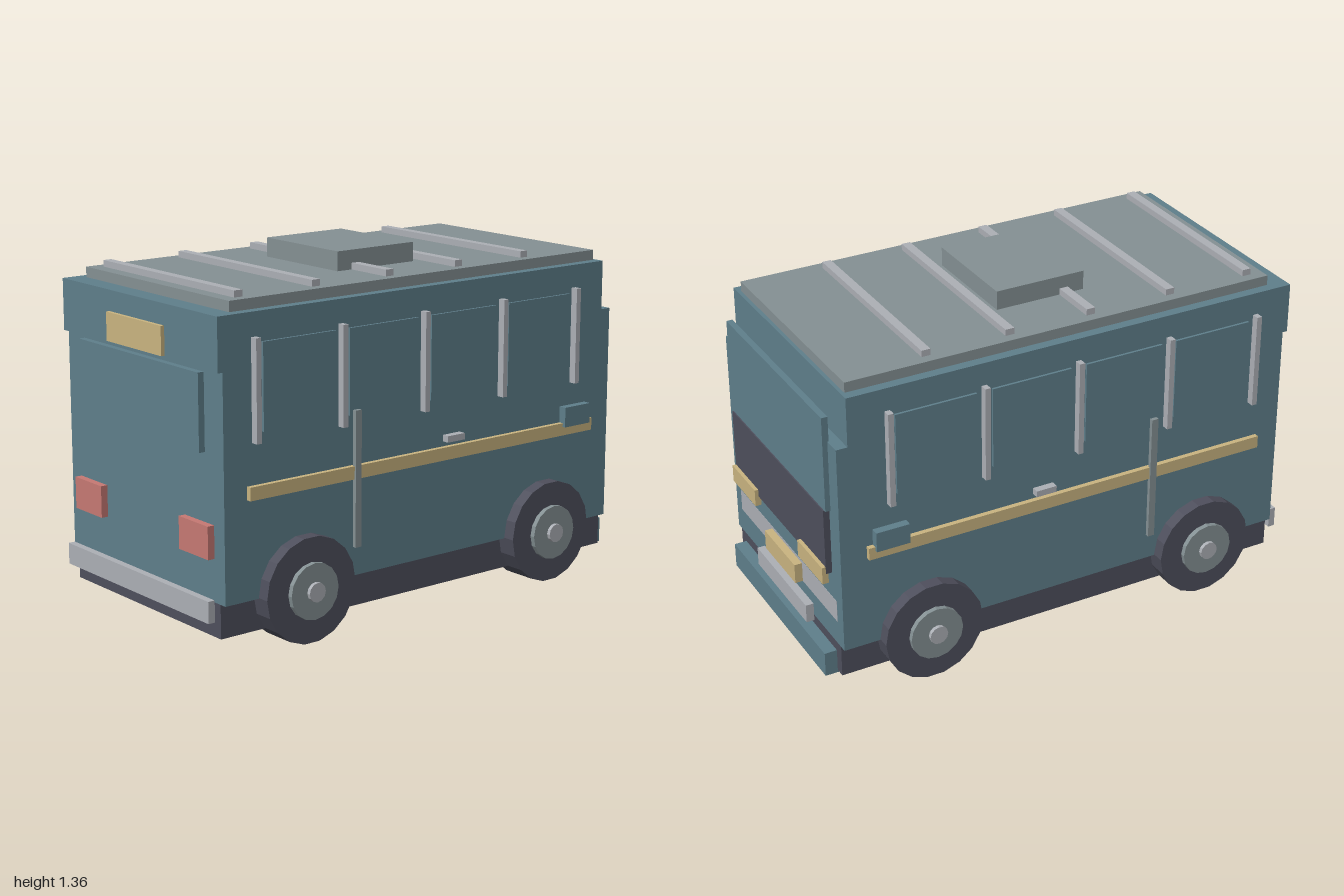
import * as THREE from 'three';

const mat = (name, color) => {
  const m = new THREE.MeshStandardMaterial({ color });
  m.name = name;
  return m;
};

export function createModel() {
  const teal = mat('teal paint', 0x5f7f8b);
  const roofGrey = mat('roof grey', 0x849093);
  const trimGrey = mat('light trim grey', 0xacafb5);
  const dark = mat('dark rubber', 0x4e4f5c);
  const yellow = mat('pale yellow', 0xc9b480);
  const red = mat('lamp red', 0xc67973);

  const bus = new THREE.Group();
  bus.name = 'bus';

  // Box given by its limits on each axis
  const box = (name, m, [x0, x1], [y0, y1], [z0, z1], parent = bus) => {
    const mesh = new THREE.Mesh(new THREE.BoxGeometry(x1 - x0, y1 - y0, z1 - z0), m);
    mesh.position.set((x0 + x1) / 2, (y0 + y1) / 2, (z0 + z1) / 2);
    mesh.name = name;
    parent.add(mesh);
    return mesh;
  };
  const wide = (w) => [-w, w];

  // Body shell
  box('body', teal, wide(0.5), [0.2, 1.055], wide(0.95));
  box('upperBody', teal, wide(0.5), [1.05, 1.25], [-0.905, 0.97]);
  box('skirt', dark, wide(0.47), [0.07, 0.2], wide(0.95));

  // Roof with ribs and hatch
  box('roof', roofGrey, wide(0.46), [1.25, 1.29], wide(0.89));
  for (const z of [0.82, 0.475, 0.13, -0.21, -0.55])
    box('roofRib', trimGrey, wide(0.42), [1.29, 1.315], [z - 0.018, z + 0.018]);
  box('roofHatch', roofGrey, wide(0.22), [1.29, 1.365], [-0.155, 0.215]);

  // Front end
  box('frontSign', yellow, [-0.18, 0.176], [1.06, 1.17], [0.965, 0.985]);
  box('frontWindow', teal, wide(0.387), [0.745, 1.035], [0.95, 0.975]);
  for (const s of [-1, 1])
    box('frontLamp', red, [s * 0.347 - 0.09, s * 0.347 + 0.09], [0.363, 0.487], [0.95, 0.978]);
  box('frontBumper', trimGrey, wide(0.465), [0.137, 0.22], [0.972, 1.0]);

  // Rear end
  box('rearWindow', teal, wide(0.43), [0.77, 1.155], [-0.97, -0.945]);
  box('rearGrille', dark, wide(0.42), [0.5, 0.77], [-0.975, -0.945]);
  for (const s of [-1, 1])
    box('rearLamp', yellow, [s * 0.31 - 0.11, s * 0.31 + 0.11], [0.46, 0.53], [-0.99, -0.965]);
  box('rearTrim', trimGrey, wide(0.45), [0.3, 0.39], [-0.951, -0.945]);
  box('rearPlate', yellow, wide(0.14), [0.3, 0.38], [-0.982, -0.945]);
  box('rearStep', trimGrey, wide(0.23), [0.175, 0.25], [-0.982, -0.945]);
  box('rearBumper', teal, wide(0.43), [0.06, 0.16], [-1.0, -0.93]);

  // Wheel parts share one axis along x
  const disc = (name, m, r, x0, x1, n, parent) => {
    const g = new THREE.CylinderGeometry(r, r, x1 - x0, n).toNonIndexed();
    g.rotateZ(-Math.PI / 2);
    g.computeVertexNormals();
    const mesh = new THREE.Mesh(g, m);
    mesh.position.x = (x0 + x1) / 2;
    mesh.name = name;
    parent.add(mesh);
  };

  // Both sides
  for (const s of [1, -1]) {
    const side = new THREE.Group();
    side.name = s > 0 ? 'leftSide' : 'rightSide';
    side.rotation.y = 0;
    bus.add(side);
    const out = (a, b) => (s > 0 ? [a, b] : [-b, -a]);

    for (const z of [0.617, 0.227, -0.165, -0.557])
      box('sideWindow', teal, out(0.495, 0.51), [0.815, 1.14], [z - 0.164, z + 0.164], side);
    for (const z of [0.815, 0.425, 0.033, -0.36, -0.747])
      box('windowPillar', trimGrey, out(0.495, 0.53), [0.78, 1.16], [z - 0.011, z + 0.011], side);
    box('sideStripe', yellow, out(0.495, 0.52), [0.575, 0.625], [-0.845, 0.85], side);
    box('grabPole', roofGrey, out(0.51, 0.526), [0.315, 0.835], [0.348, 0.376], side);
    box('doorHandle', trimGrey, out(0.495, 0.53), [0.645, 0.67], [-0.155, -0.07], side);
    box('sideMirror', teal, out(0.495, 0.533), [0.61, 0.69], [-0.82, -0.685], side);

    for (const z of [0.6, -0.6]) {
      const wheel = new THREE.Group();
      wheel.name = 'wheel';
      wheel.position.set(0, 0.203, z);
      if (s < 0) wheel.rotation.y = Math.PI;
      disc('tyre', dark, 0.203, 0.41, 0.55, 18, wheel);
      disc('hub', roofGrey, 0.108, 0.54, 0.57, 16, wheel);
      disc('hubCap', trimGrey, 0.037, 0.56, 0.585, 12, wheel);
      side.add(wheel);
    }
  }
  return bus;
}
